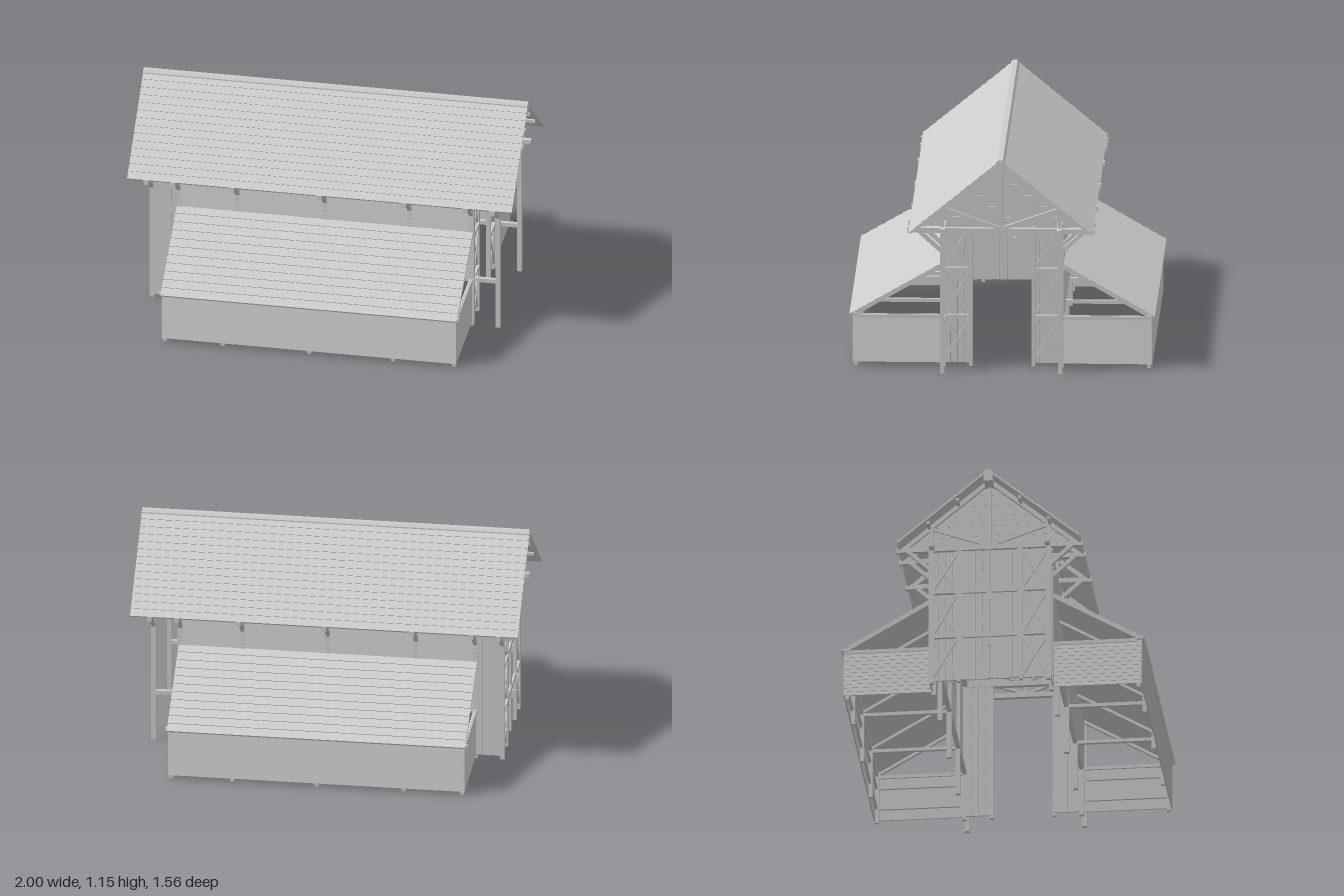
import * as THREE from 'three';

const mat = new THREE.MeshStandardMaterial({ color: 0xcccccc, flatShading: true });
const BAYS = [-0.9, -0.76, -0.455, 0, 0.44, 0.76, 0.9]; // frame positions along the ridge
const SIDES = [1, -1];

function group(name, parent) {
  const g = new THREE.Group();
  g.name = name;
  parent.add(g);
  return g;
}

function add(parent, name, geo) {
  const m = new THREE.Mesh(geo, mat);
  m.name = name;
  parent.add(m);
  return m;
}

function box(parent, name, x, y, z, w, h, d) {
  const m = add(parent, name, new THREE.BoxGeometry(w, h, d));
  m.position.set(x, y, z);
  return m;
}

// Timber running from point a to point b
function beam(parent, name, a, b, w = 0.022, h = w) {
  const p = new THREE.Vector3(...a), q = new THREE.Vector3(...b);
  const m = add(parent, name, new THREE.BoxGeometry(w, h, p.distanceTo(q)));
  m.position.copy(p).lerp(q, 0.5);
  m.lookAt(q);
  return m;
}

// Lapped boards: saw-tooth section from a to b (z, y), lying along x; s is the outward side
function lapped(parent, name, x0, x1, a, b, n, s, t = 0.008, lap = 0.004) {
  const A = new THREE.Vector2(...a), B = new THREE.Vector2(...b);
  const dir = B.clone().sub(A).normalize();
  const out = new THREE.Vector2(dir.y, -dir.x).multiplyScalar(s);
  const pts = [A.clone().addScaledVector(out, -t)];
  for (let i = 0; i < n; i++) {
    pts.push(A.clone().lerp(B, i / n));
    pts.push(A.clone().lerp(B, (i + 1) / n).addScaledVector(out, -lap));
  }
  pts.push(B.clone().addScaledVector(out, -t));
  const geo = new THREE.ExtrudeGeometry(new THREE.Shape(pts), { depth: x1 - x0, bevelEnabled: false });
  geo.rotateY(-Math.PI / 2).translate(x1, 0, 0);
  return add(parent, name, geo);
}

// Horizontal gable boards narrowing towards the ridge
function gable(parent, x) {
  const g = group('gableSiding', parent);
  const y0 = 0.765, y1 = 1.11, half = 0.42, n = 12;
  for (let i = 0; i < n; i++) {
    const lo = half * (1 - i / n), hi = half * (1 - (i + 1) / n);
    const a = y0 + (y1 - y0) * i / n, b = y0 + (y1 - y0) * (i + 1) / n;
    const pts = [[-lo, a], [lo, a], [hi, b], [-hi, b]].map(p => new THREE.Vector2(...p));
    const depth = i % 2 ? 0.008 : 0.011;
    const geo = new THREE.ExtrudeGeometry(new THREE.Shape(pts), { depth, bevelEnabled: false });
    geo.rotateY(-Math.PI / 2).translate(x + depth / 2, 0, 0);
    add(g, 'gableBoard', geo);
  }
}

// Roof truss with tie beam, rafters, king post, struts and eave braces
function truss(parent, x) {
  const g = group('roofTruss', parent);
  box(g, 'tieBeam', x, 0.757, 0, 0.024, 0.026, 0.96);
  box(g, 'kingPost', x, 0.93, 0, 0.022, 0.34, 0.02);
  for (const s of SIDES) {
    beam(g, 'rafter', [x, 0.757, s * 0.45], [x, 1.122, s * 0.008], 0.022, 0.024);
    beam(g, 'strut', [x, 0.77, s * 0.01], [x, 0.873, s * 0.3], 0.016);
    box(g, 'queenPost', x, 0.82, s * 0.3, 0.02, 0.11, 0.018);
    beam(g, 'eaveBrace', [x, 0.64, s * 0.3], [x, 0.75, s * 0.42], 0.02);
  }
}

// Cross-braced panel: boards behind three stacked crosses; dir is the outward x direction
function bracedPanel(parent, x, s, dir) {
  const g = group('bracedPanel', parent);
  const z0 = s * 0.16, z1 = s * 0.302, levels = [0.025, 0.265, 0.515, 0.745];
  for (let i = 0; i < 4; i++)
    box(g, 'panelBoard', x - dir * (i % 2 ? 0.012 : 0.009), 0.382, s * (0.174 + i * 0.036), 0.008, 0.725, 0.035);
  for (const z of [z0, z1]) box(g, 'panelStud', x, 0.375, z, 0.022, 0.74, 0.018);
  for (let i = 0; i < 3; i++) {
    beam(g, 'crossBrace', [x, levels[i], z0], [x, levels[i + 1], z1], 0.012, 0.014);
    beam(g, 'crossBrace', [x + dir * 0.003, levels[i], z1], [x + dir * 0.003, levels[i + 1], z0], 0.012, 0.014);
    if (i) box(g, 'panelRail', x, levels[i], s * 0.231, 0.024, 0.022, 0.142);
  }
}

function mainRoof(parent) {
  const g = group('mainRoof', parent);
  for (const s of SIDES) {
    lapped(g, 'roofBoards', -1, 1, [s * 0.472, 0.768], [s * 0.015, 1.146], 14, s, 0.012);
    box(g, 'wallPlate', 0, 0.762, s * 0.297, 1.92, 0.024, 0.024);
    for (const [z, y] of [[0.16, 1.0], [0.31, 0.876]]) box(g, 'purlin', 0, y, s * z, 1.96, 0.016, 0.016);
  }
  const cap = [[-0.022, 1.09], [0.022, 1.09], [0.022, 1.143], [0.012, 1.155], [-0.012, 1.155], [-0.022, 1.143]];
  const geo = new THREE.ExtrudeGeometry(new THREE.Shape(cap.map(p => new THREE.Vector2(...p))),
    { depth: 2, bevelEnabled: false });
  add(g, 'ridgeBeam', geo.rotateY(-Math.PI / 2).translate(1, 0, 0));
  BAYS.forEach(x => truss(g, x));
}

// Low side aisle on the side s of the barn
function sideAisle(parent, s) {
  const g = group('sideAisle', parent);
  lapped(g, 'aisleRoof', -0.77, 0.77, [s * 0.782, 0.276], [s * 0.31, 0.55], 11, s, 0.01);
  lapped(g, 'aisleWall', -0.765, 0.765, [s * 0.768, 0.02], [s * 0.768, 0.275], 12, s, 0.007, 0.003);
  box(g, 'aislePlate', 0, 0.272, s * 0.752, 1.56, 0.018, 0.018);
  for (const y of [0.085, 0.2]) {
    box(g, 'aisleRail', 0, y, s * 0.753, 1.5, 0.018, 0.012);
    for (const e of SIDES) box(g, 'aisleEndRail', e * 0.753, y, s * 0.535, 0.012, 0.018, 0.42);
  }
  for (const e of SIDES) {
    const z0 = s * e > 0 ? -0.766 : 0.31;
    const wall = lapped(g, 'aisleEndWall', z0, z0 + 0.456, [0.766, 0.02], [0.766, 0.275], 12, 1, 0.007, 0.003);
    wall.rotation.y = e * Math.PI / 2;
  }
  for (const x of BAYS.slice(1, -1)) {
    box(g, 'aislePost', x * 0.99, 0.137, s * 0.75, 0.02, 0.274, 0.02);
    beam(g, 'aisleRafter', [x, 0.268, s * 0.765], [x, 0.532, s * 0.31], 0.018);
    beam(g, 'aisleTie', [x, 0.262, s * 0.75], [x, 0.262, s * 0.3], 0.018);
  }
}

// Post rows and upper side walls of the tall hall
function hall(parent) {
  const g = group('hall', parent);
  for (const s of SIDES) {
    for (const x of BAYS) box(g, 'hallPost', x, 0.375, s * 0.302, 0.024, 0.75, 0.024);
    box(g, 'hallRail', 0, 0.265, s * 0.3, 1.8, 0.022, 0.02);
    lapped(g, 'hallWall', -0.77, 0.77, [s * 0.315, 0.265], [s * 0.315, 0.745], 20, s, 0.007, 0.003);
    // Upright boards beside the closed end
    for (let i = 0; i < 4; i++)
      box(g, 'sideBoard', -0.882 + i * 0.034, 0.382, s * (i % 2 ? 0.309 : 0.312), 0.033, 0.725, 0.008);
    bracedPanel(g, 0.765, s, 1);
    bracedPanel(g, -0.9, s, -1);
  }
  gable(g, 0.77);
  gable(g, -0.893);
}

// Closed double door at the far end
function doors(parent) {
  const g = group('doubleDoor', parent);
  for (let i = 0; i < 8; i++)
    box(g, 'doorBoard', i % 2 ? -0.89 : -0.893, 0.382, -0.133 + i * 0.038, 0.008, 0.725, 0.037);
  for (const y of [0.265, 0.515])
    for (const x of [-0.903, -0.88]) box(g, 'doorRail', x, y, 0, 0.012, 0.024, 0.3);
  for (const s of SIDES) {
    box(g, 'doorStile', -0.9, 0.382, s * 0.01, 0.012, 0.725, 0.012);
    box(g, 'doorJamb', -0.9, 0.382, s * 0.145, 0.014, 0.725, 0.012);
  }
  for (const y of [0.225, 0.48])
    for (const x of [-0.91, -0.876]) box(g, 'doorLatch', x, y, 0, 0.012, 0.045, 0.014);
}

export function createModel() {
  const model = new THREE.Group();
  model.name = 'barn';
  mainRoof(model);
  hall(model);
  doors(model);
  SIDES.forEach(s => sideAisle(model, s));
  return model;
}
